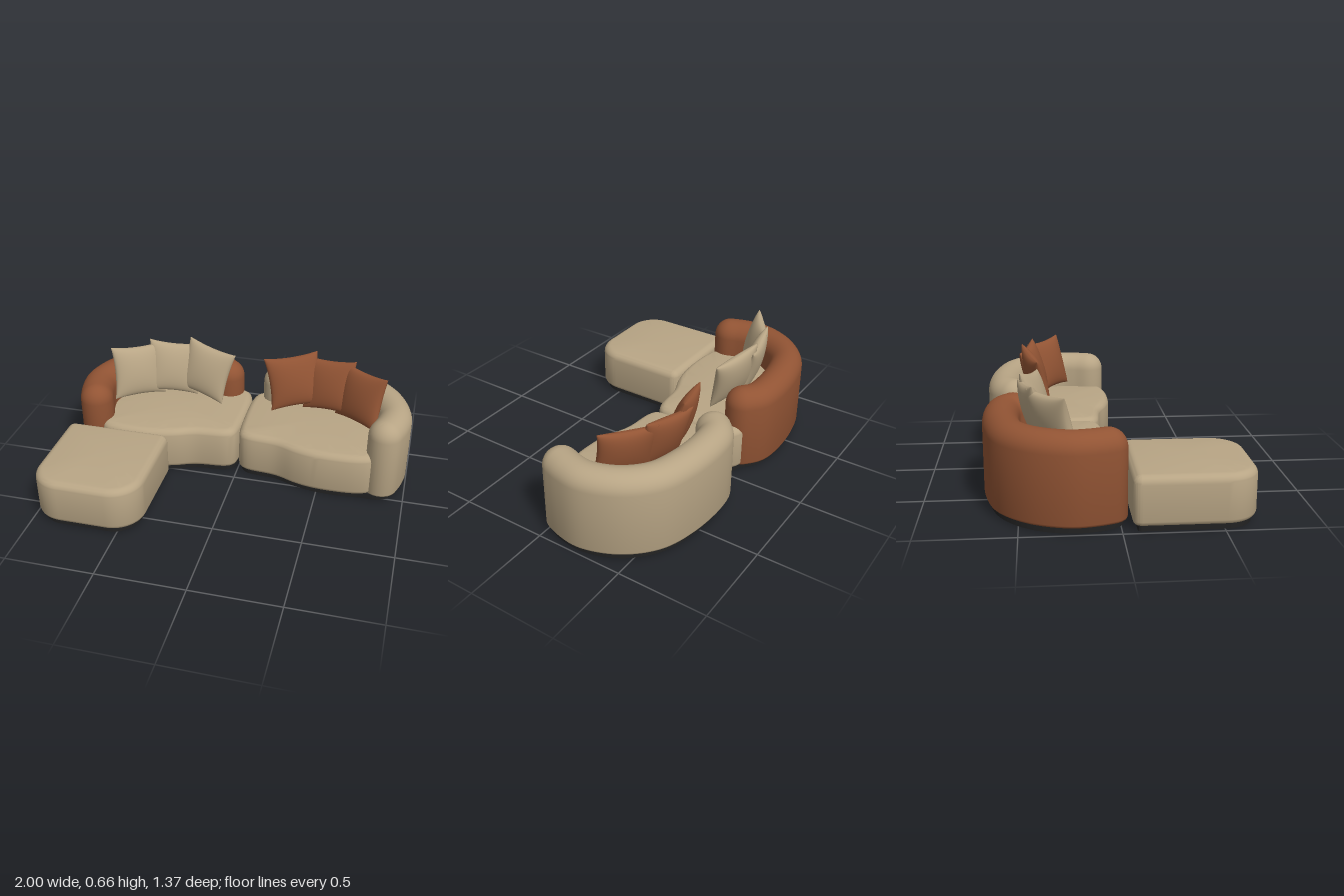
import * as THREE from 'three';
import { toCreasedNormals } from 'three/addons/utils/BufferGeometryUtils.js';
import { mergeGeometries } from 'three/addons/utils/BufferGeometryUtils.js';

const material = (name, color) => {
  const m = new THREE.MeshStandardMaterial({ color });
  m.name = name;
  return m;
};

// Outlines are lists of [x, z, outward normal x, outward normal z].
const signedArea = (o) => o.reduce((sum, a, i) => {
  const b = o[(i + 1) % o.length];
  return sum + a[0] * b[1] - b[0] * a[1];
}, 0);

const toCurve = (points, side, closed) => new THREE.CatmullRomCurve3(
  points.map(([x, z]) => new THREE.Vector3(x * side, 0, z)), closed, 'centripetal');

// Closed smooth outline through a few points
function splineOutline(points, side, n = 110) {
  const pts = toCurve(points, side, true).getSpacedPoints(n).slice(0, n).map((p) => [p.x, p.z]);
  const s = Math.sign(signedArea(pts));
  return pts.map(([x, z], i) => {
    const a = pts[(i + n - 1) % n], b = pts[(i + 1) % n];
    const t = new THREE.Vector2(b[0] - a[0], b[1] - a[1]).normalize();
    return [x, z, s * t.y, -s * t.x];
  });
}

// Band of half width r around an open path, with round ends
function bandOutline(points, side, r, n = 56, capSteps = 14) {
  const curve = toCurve(points, side, false);
  const samples = [];
  for (let i = 0; i <= n; i++) {
    const p = curve.getPointAt(i / n), t = curve.getTangentAt(i / n);
    samples.push({ p, t });
  }
  const out = [];
  const add = ({ p, t }, angle) => {
    const c = Math.cos(angle), s = Math.sin(angle);
    const nx = -t.z * c + t.x * s, nz = t.x * c + t.z * s;
    out.push([p.x + nx * r, p.z + nz * r, nx, nz]);
  };
  samples.forEach((q) => add(q, 0));
  for (let i = 1; i < capSteps; i++) add(samples[n], Math.PI * i / capSteps);
  [...samples].reverse().forEach((q) => add(q, Math.PI));
  for (let i = 1; i < capSteps; i++) add(samples[0], Math.PI * (1 + i / capSteps));
  return out;
}

// Rectangle with separate radii for its back and front corners
function rectOutline(x0, x1, z0, z1, backR, frontR, steps = 12) {
  const corners = [
    [x1 - frontR, z1 - frontR, frontR], [x0 + frontR, z1 - frontR, frontR],
    [x0 + backR, z0 + backR, backR], [x1 - backR, z0 + backR, backR],
  ];
  const out = [];
  corners.forEach(([cx, cz, r], k) => {
    for (let i = 0; i <= steps; i++) {
      const a = (k + i / steps) * Math.PI / 2, c = Math.cos(a), s = Math.sin(a);
      out.push([cx + r * c, cz + r * s, c, s]);
    }
  });
  return out;
}

// Stack an outline along a profile of [inset, y, scale about the middle]
function loft(outline, profile) {
  const o = signedArea(outline) > 0 ? [...outline].reverse() : outline;
  const n = o.length;
  const mx = o.reduce((s, p) => s + p[0], 0) / n, mz = o.reduce((s, p) => s + p[1], 0) / n;
  const pos = [], index = [];
  profile.forEach(([inset, y, scale = 1], i) => o.forEach(([x, z, nx, nz], j) => {
    pos.push(mx + (x - nx * inset - mx) * scale, y, mz + (z - nz * inset - mz) * scale);
    if (i === profile.length - 1) return;
    const a = i * n + j, b = i * n + (j + 1) % n;
    index.push(a, b, b + n, a, b + n, a + n);
  }));
  const g = new THREE.BufferGeometry();
  g.setAttribute('position', new THREE.Float32BufferAttribute(pos, 3));
  g.setIndex(index);
  return toCreasedNormals(g, 0.7);
}

// Quarter-round profile from a wall up to a top
const round = (r, top, steps = 8) => Array.from({ length: steps + 1 }, (_, i) => {
  const a = i / steps * Math.PI / 2;
  return [r * (1 - Math.cos(a)), top - r + r * Math.sin(a)];
});

const seatProfile = [
  [0.025, 0.03, 0], [0.025, 0.03], [0.012, 0.034], [0.004, 0.042], [0, 0.055],
  ...round(0.045, 0.286), [0.045, 0.294, 0.7], [0.045, 0.298, 0.35], [0.045, 0.299, 0],
];
const plinthProfile = [[0, 0, 0], [0, 0], [0, 0.036], [0, 0.036, 0]];
const R = 0.097;
const backProfile = [[R, 0.03], [0.012, 0.03], [0.003, 0.036], [0, 0.045], ...round(R, 0.493, 10)];

const seatPoints = [
  [0.004, -0.5], [0.004, -0.13], [0.018, -0.075], [0.06, -0.045], [0.25, -0.02], [0.36, 0.022],
  [0.45, 0.045], [0.58, 0.055], [0.74, 0.043], [0.805, 0.015], [0.83, -0.06], [0.85, -0.3],
  [0.75, -0.48], [0.55, -0.58], [0.3, -0.6], [0.1, -0.587], [0.03, -0.56],
];
const plinthPoints = [
  [0.02, -0.5], [0.02, -0.12], [0.06, -0.07], [0.25, -0.045], [0.36, -0.003], [0.45, 0.02],
  [0.58, 0.032], [0.75, 0.022], [0.87, 0.015], [0.935, -0.04], [0.975, -0.24], [0.91, -0.44],
  [0.77, -0.58], [0.57, -0.65], [0.33, -0.665], [0.17, -0.63], [0.1, -0.572], [0.04, -0.55],
];
const backPath = [
  [0.163, -0.532], [0.22, -0.575], [0.33, -0.592], [0.55, -0.575], [0.72, -0.52],
  [0.84, -0.4], [0.898, -0.24], [0.885, -0.13], [0.862, -0.06],
];

// Plump square pillow with pinched sides and a seam
function pillowGeometry(h = 0.162, thick = 0.052) {
  const halves = [1, -1].map((face) => {
    const g = new THREE.PlaneGeometry(2, 2, 20, 20);
    if (face < 0) g.rotateY(Math.PI);
    const p = g.attributes.position;
    for (let i = 0; i < p.count; i++) {
      const u = Math.sin(p.getX(i) * Math.PI / 2), v = Math.sin(p.getY(i) * Math.PI / 2);
      const bulge = Math.pow(Math.max(0, (1 - u * u) * (1 - v * v)), 0.42);
      p.setXYZ(i, u * h * (1 - 0.09 * (1 - v * v)), v * h * (1 - 0.09 * (1 - u * u)), face * thick * bulge);
    }
    g.computeVertexNormals();
    return g;
  });
  return mergeGeometries(halves);
}

// Position, then pitch, yaw and roll
const pillows = [
  { at: [0.275, 0.478, -0.405], turn: [-0.27, 0.24, 0.16] },
  { at: [0.485, 0.472, -0.415], turn: [-0.27, -0.26, 0.1] },
  { at: [0.685, 0.468, -0.325], turn: [-0.24, -0.62, 0.04] },
];

export function createModel() {
  const model = new THREE.Group();
  model.name = 'sectionalSofa';
  const beige = material('beigeFabric', 0xb8a585);
  const rust = material('rustFabric', 0x925434);
  const black = material('blackPlinth', 0x222222);
  const add = (parent, name, geometry, mat) => {
    const mesh = new THREE.Mesh(geometry, mat);
    mesh.name = name;
    parent.add(mesh);
    return mesh;
  };

  // Two mirrored curved sofas with swapped accent colours
  const pillow = pillowGeometry();
  for (const side of [1, -1]) {
    const sofa = new THREE.Group();
    sofa.name = side > 0 ? 'leftSofa' : 'rightSofa';
    model.add(sofa);
    add(sofa, 'plinth', loft(splineOutline(plinthPoints, side), plinthProfile), black);
    add(sofa, 'seat', loft(splineOutline(seatPoints, side), seatProfile), beige);
    add(sofa, 'backrest', loft(bandOutline(backPath, side, R), backProfile), side > 0 ? beige : rust);
    pillows.forEach(({ at, turn }, i) => {
      const mesh = add(sofa, `pillow${i + 1}`, pillow, side > 0 ? rust : beige);
      mesh.position.set(at[0] * side, at[1], at[2]);
      mesh.rotation.set(turn[0], turn[1] * side, turn[2] * side, 'YXZ');
    });
  }

  // Ottoman with rounder front corners
  const ottoman = new THREE.Group();
  ottoman.name = 'ottoman';
  model.add(ottoman);
  add(ottoman, 'ottomanPlinth', loft(rectOutline(-0.975, -0.405, 0.075, 0.658, 0.02, 0.15), plinthProfile), black);
  add(ottoman, 'ottomanCushion', loft(rectOutline(-1, -0.38, 0.05, 0.683, 0.046, 0.175), seatProfile), beige);
  return model;
}
